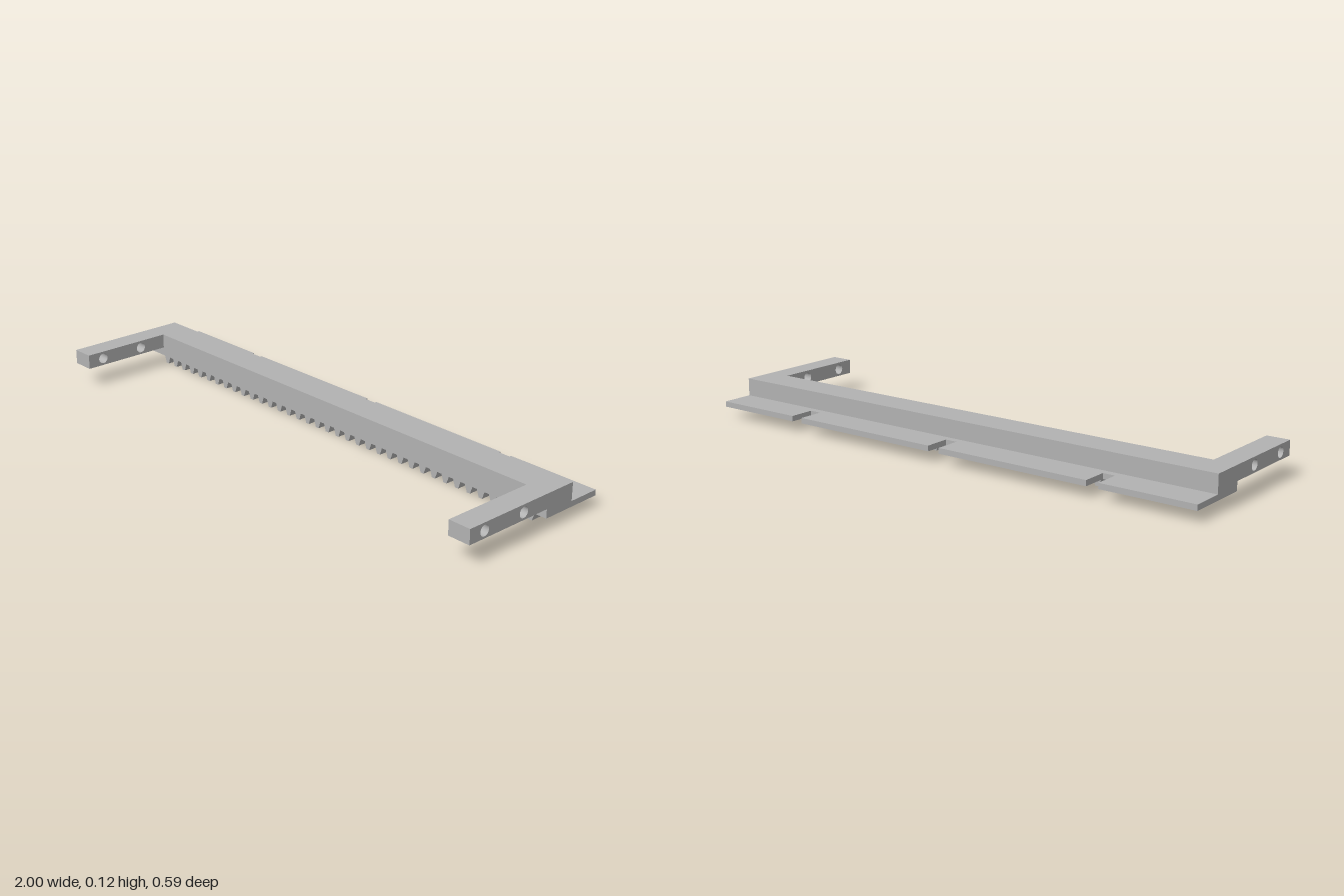
import * as THREE from 'three';

// Shape from a list of [x, y] corners
function outline(points) {
  return new THREE.Shape(points.map(([x, y]) => new THREE.Vector2(x, y)));
}

export function createModel() {
  const model = new THREE.Group();
  model.name = 'rackFrame';
  const gray = new THREE.MeshStandardMaterial({ color: 0xb2b2b2 });
  gray.name = 'plain gray';

  function add(name, geometry, parent = model) {
    const mesh = new THREE.Mesh(geometry, gray);
    mesh.name = name;
    parent.add(mesh);
    return mesh;
  }
  const extrude = (shape, depth) =>
    new THREE.ExtrudeGeometry(shape, { depth, bevelEnabled: false, curveSegments: 24 });

  // Long cross beam
  const beamBack = -0.174, beamFront = -0.054, base = 0.04, top = 0.125;
  const beam = new THREE.BoxGeometry(2, top - base, beamFront - beamBack);
  beam.translate(0, (top + base) / 2, (beamFront + beamBack) / 2);
  add('crossBeam', beam);

  // Thin rear flange with three open slots
  const flangeBack = -0.294, slotEnd = -0.2, slotHalf = 0.0225;
  const edge = [[-1, beamBack], [-1, flangeBack]];
  for (const x of [-0.631, 0, 0.631]) {
    edge.push([x - slotHalf, flangeBack], [x - slotHalf, slotEnd],
      [x + slotHalf, slotEnd], [x + slotHalf, flangeBack]);
  }
  edge.push([1, flangeBack], [1, beamBack]);
  const flange = extrude(outline(edge), 0.02);
  flange.rotateX(Math.PI / 2);
  flange.translate(0, 0.06, 0);
  add('rearFlange', flange);

  // Two forward arms, each drilled with two cross holes
  const armWidth = 0.084;
  const armShape = outline([[beamFront, 0.072], [0.294, 0.072], [0.294, top], [beamFront, top]]);
  for (const z of [0.055, 0.23]) {
    armShape.holes.push(new THREE.Path().absarc(z, 0.098, 0.019, 0, Math.PI * 2, true));
  }
  const arm = extrude(armShape, armWidth);
  arm.rotateY(-Math.PI / 2);
  add('leftArm', arm).position.x = 1;
  add('rightArm', arm).position.x = -1 + armWidth;

  // Row of rack teeth under the beam
  const teeth = new THREE.Group();
  teeth.name = 'rackTeeth';
  model.add(teeth);
  const count = 37, span = 1.844;
  const tooth = extrude(outline([[-0.0205, base], [-0.007, 0], [0.007, 0], [0.0205, base]]), 0.088);
  tooth.translate(0, 0, -0.163);
  for (let i = 0; i < count; i++) {
    add('tooth', tooth, teeth).position.x = -span / 2 + (i * span) / (count - 1);
  }
  return model;
}
